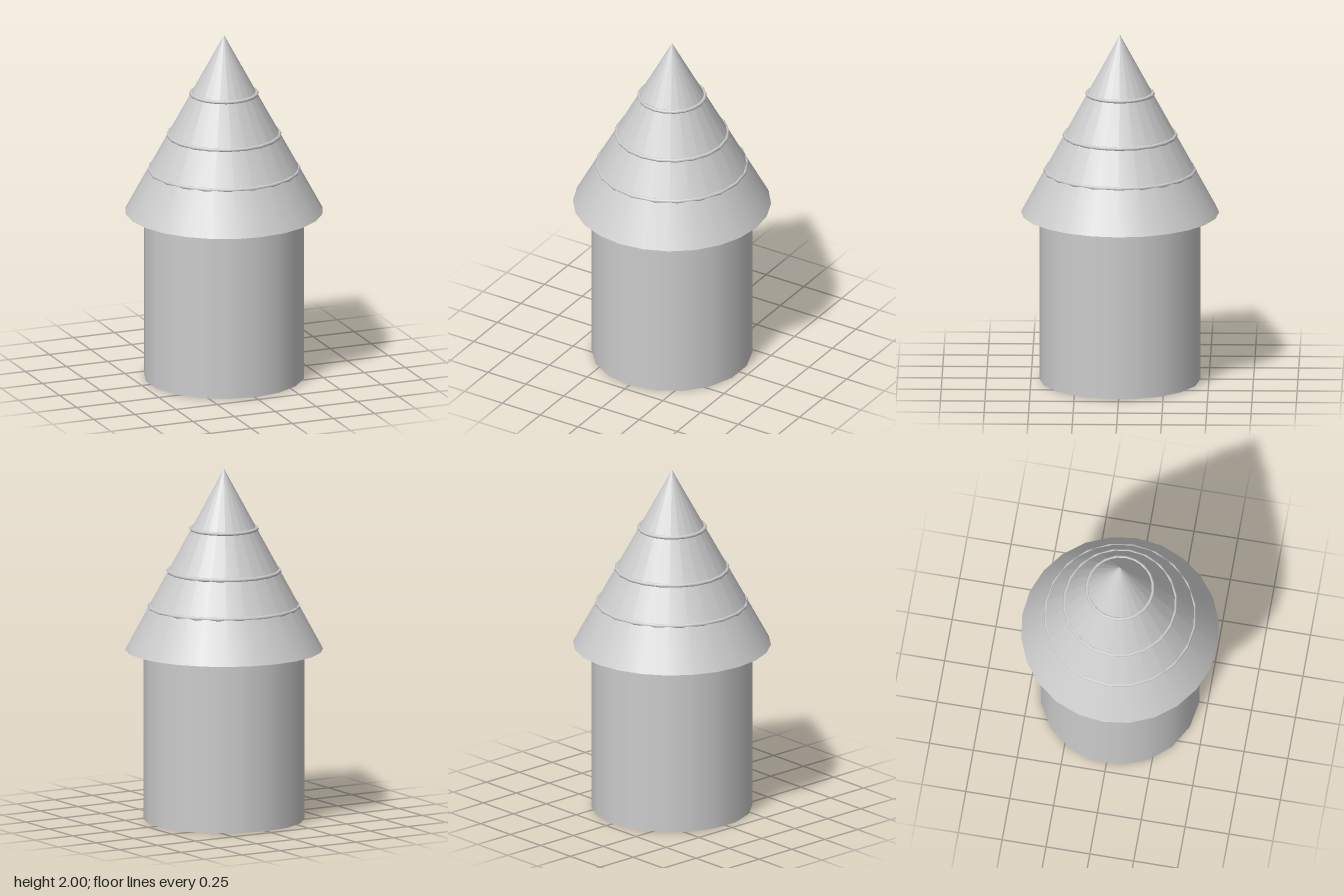
import * as THREE from 'three';

export function createModel() {
  const model = new THREE.Group();
  const material = new THREE.MeshStandardMaterial({ color: 0xcccccc });

  function add(name, geometry, y) {
    const mesh = new THREE.Mesh(geometry, material);
    mesh.name = name;
    mesh.position.y = y;
    model.add(mesh);
    return mesh;
  }

  // Round wall with closed ends
  const wallHeight = 0.97;
  add('wall', new THREE.CylinderGeometry(0.452, 0.452, wallHeight, 18), wallHeight / 2);

  // Overhanging conical roof, closed underneath
  const roofHeight = 2 - wallHeight;
  const roofRadius = 0.557;
  add('roof', new THREE.ConeGeometry(roofRadius, roofHeight, 24), wallHeight + roofHeight / 2);

  // Thin bands around the roof: [height, radius]
  const bands = [[1.215, 0.42], [1.418, 0.313], [1.66, 0.185]];
  bands.forEach(([y, radius], i) => {
    const band = new THREE.TorusGeometry(radius, 0.011, 8, 20);
    band.rotateX(Math.PI / 2);
    add('roofBand' + (i + 1), band, y);
  });

  return model;
}
